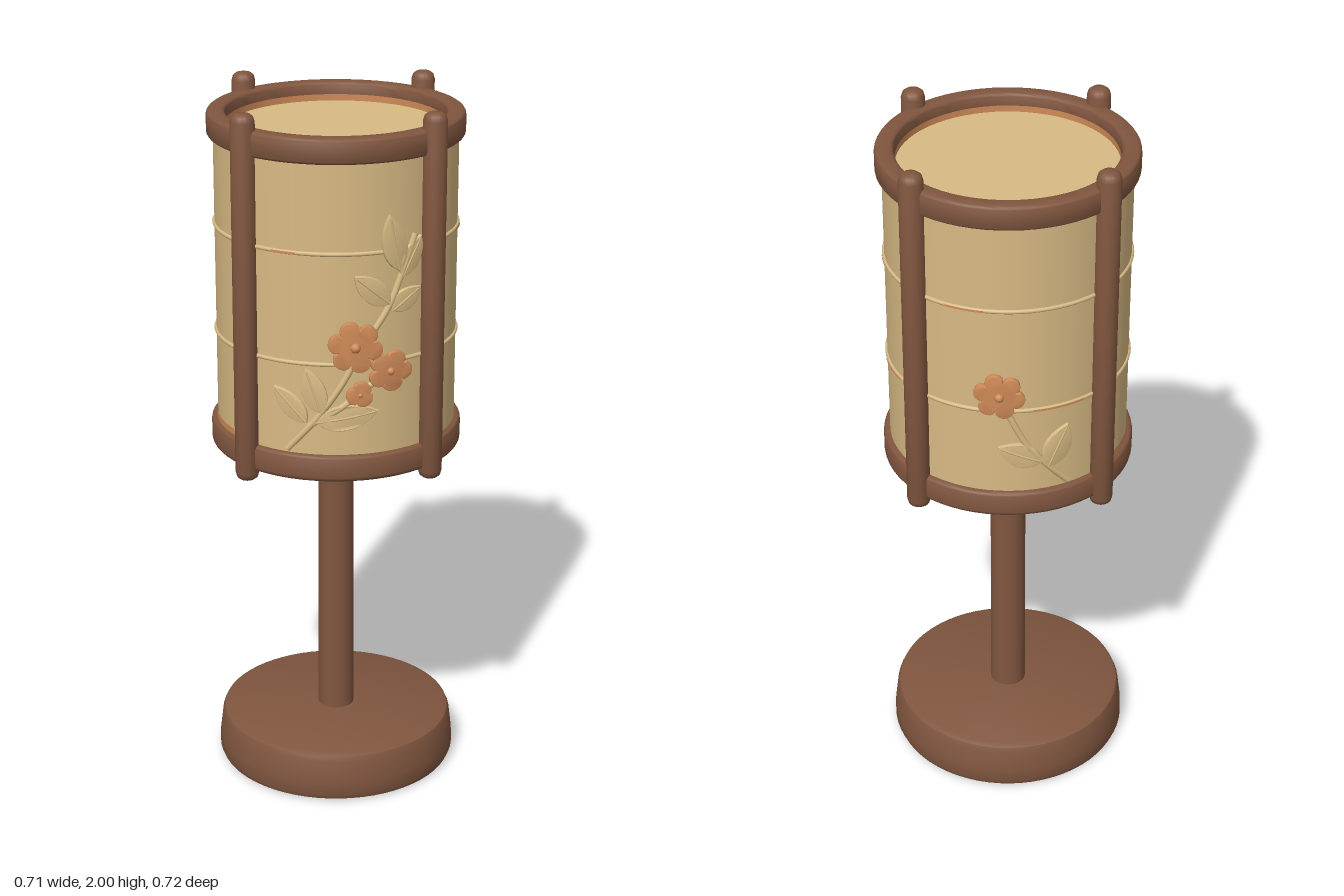
import * as THREE from 'three';
import { toCreasedNormals } from 'three/addons/utils/BufferGeometryUtils.js';

const R = 0.335; // shade radius

export function createModel() {
  const group = new THREE.Group();
  const mat = (name, color) => {
    const m = new THREE.MeshStandardMaterial({ color });
    m.name = name;
    return m;
  };
  const wood = mat('brown wood', 0x80563f);
  const paper = mat('cream paper', 0xd8ba84);
  const blossom = mat('orange blossom', 0xcf8a58);
  const add = (name, geo, material, parent = group) => {
    const mesh = new THREE.Mesh(geo, material);
    mesh.name = name;
    parent.add(mesh);
    return mesh;
  };
  const lathe = (pts, seg = 64) => toCreasedNormals(
    new THREE.LatheGeometry(pts.map(p => new THREE.Vector2(...p)), seg), 0.7);

  // Round foot with softened edges
  add('base', lathe([[0, 0], [0.325, 0], [0.341, 0.006], [0.347, 0.02], [0.346, 0.06], [0.338, 0.125],
    [0.332, 0.139], [0.318, 0.146], [0, 0.146]]), wood);

  // Stand
  add('pole', new THREE.CylinderGeometry(0.05, 0.052, 0.92, 32).translate(0, 0.58, 0), wood);

  // Rounded hoops at both ends of the shade
  const hoop = (y0, y1) => {
    const shape = [], b = 0.014, r0 = 0.3, r1 = 0.353;
    const corners = [[r1 - b, y0 + b, -1], [r1 - b, y1 - b, 0], [r0 + b, y1 - b, 1], [r0 + b, y0 + b, 2]];
    for (const [cx, cy, q] of corners)
      for (let i = 0; i <= 4; i++) {
        const a = (q + i / 4) * Math.PI / 2;
        shape.push([cx + b * Math.cos(a), cy + b * Math.sin(a)]);
      }
    shape.push(shape[0]);
    return lathe(shape);
  };
  add('lowerHoop', hoop(1.0, 1.075), wood);
  add('upperHoop', hoop(1.885, 1.955), wood);

  // Four upright posts with rounded ends
  for (const sx of [-1, 1]) for (const sz of [-1, 1]) {
    const post = add('post', lathe([[0, 0.97], [0.02, 0.972], [0.029, 0.979], [0.033, 0.993],
      [0.033, 1.977], [0.029, 1.991], [0.02, 1.998], [0, 2.0]], 20), wood);
    post.position.set(sx * 0.252, 0, sz * 0.243);
  }

  // Paper shade, its recessed lid and the wooden floor
  add('shade', new THREE.CylinderGeometry(R, R, 0.88, 64, 1, true).translate(0, 1.48, 0), paper);
  add('shadeTop', new THREE.CircleGeometry(0.325, 48).rotateX(-Math.PI / 2).translate(0, 1.903, 0), paper);
  add('shadeFloor', new THREE.CircleGeometry(0.325, 48).rotateX(Math.PI / 2).translate(0, 1.016, 0), wood);

  // Fine ribs round the shade
  for (const y of [1.335, 1.642])
    add('rib', new THREE.TorusGeometry(R, 0.006, 8, 80).rotateX(Math.PI / 2).translate(0, y, 0), paper);

  // Short painted bands: [height, band height, start, sweep, radius]
  const deg = Math.PI / 180;
  for (const [y, h, start, sweep, r] of [[1.642, 0.006, 70, 35, 0.342], [1.642, 0.006, -32, 12, 0.342],
    [1.335, 0.006, 100, 20, 0.342], [1.642, 0.006, 150, 18, 0.342], [1.335, 0.006, 190, 25, 0.342],
    [1.082, 0.022, 238, 80, 0.338]])
    add('paintedBand', new THREE.CylinderGeometry(r, r, h, 20, 1, true, start * deg, sweep * deg)
      .translate(0, y, 0), blossom);
  const rim = blossom.clone();
  rim.side = THREE.DoubleSide;
  add('innerRimBand', new THREE.CylinderGeometry(0.299, 0.299, 0.018, 64, 1, true).translate(0, 1.912, 0), rim);

  // Relief ornament: flat drawings wrapped onto the shade about a centre angle
  const wrapPoint = (x, y, lift, centre) => {
    const a = centre + Math.asin(x / R);
    return new THREE.Vector3((R + lift) * Math.sin(a), y, (R + lift) * Math.cos(a));
  };
  const relief = (shape, lift, centre) => {
    const geo = new THREE.ExtrudeGeometry(shape, { depth: lift, curveSegments: 8,
      bevelThickness: 0.003, bevelSize: 0.003, bevelSegments: 2 }).translate(0, 0, -0.004);
    const p = geo.attributes.position;
    for (let i = 0; i < p.count; i++) {
      const v = wrapPoint(p.getX(i), p.getY(i), p.getZ(i), centre);
      p.setXYZ(i, v.x, v.y, v.z);
    }
    return toCreasedNormals(geo, 0.6);
  };
  const leafShape = ([x0, y0, x1, y1, w]) => {
    const dx = x1 - x0, dy = y1 - y0, l = Math.hypot(dx, dy);
    const at = (t, s) => [x0 + dx * t - dy / l * s, y0 + dy * t + dx / l * s];
    const shape = new THREE.Shape().moveTo(x0, y0);
    shape.bezierCurveTo(...at(0.2, -w), ...at(0.65, -w), x1, y1);
    shape.bezierCurveTo(...at(0.65, w), ...at(0.2, w), x0, y0);
    return shape;
  };
  const flowerShape = ([cx, cy, r, petals, turn]) => {
    const pts = [], n = petals * 10;
    for (let i = 0; i < n; i++) {
      const a = i / n * Math.PI * 2;
      const k = r * (0.62 + 0.38 * Math.sqrt(Math.abs(Math.sin(a * petals / 2))));
      pts.push(new THREE.Vector2(cx + k * Math.cos(a + turn), cy + k * Math.sin(a + turn)));
    }
    return new THREE.Shape(pts);
  };
  const spray = (name, centre, stems, leaves, flowers) => {
    const part = new THREE.Group();
    part.name = name;
    group.add(part);
    for (const pts of stems) {
      const curve = new THREE.CatmullRomCurve3(pts.map(([x, y]) => wrapPoint(x, y, 0.002, centre)));
      add('stem', new THREE.TubeGeometry(curve, 30, 0.009, 8), paper, part);
    }
    for (const l of leaves) {
      add('leaf', relief(leafShape(l), 0.011, centre), paper, part);
      // Raised vein along each leaf
      const vein = [0, 0.5, 0.95].map(t =>
        wrapPoint(l[0] + (l[2] - l[0]) * t, l[1] + (l[3] - l[1]) * t, 0.009, centre));
      add('leafVein', new THREE.TubeGeometry(new THREE.CatmullRomCurve3(vein), 8, 0.003, 6), paper, part);
    }
    for (const f of flowers) {
      add('flower', relief(flowerShape(f), 0.016, centre), blossom, part);
      const heart = add('flowerHeart', new THREE.SphereGeometry(f[2] * 0.2, 12, 8), blossom, part);
      heart.position.copy(wrapPoint(f[0], f[1], 0.013, centre));
    }
  };

  spray('frontSpray', 0,
    [[[-0.14, 1.085], [-0.07, 1.17], [0, 1.27], [0.06, 1.38], [0.13, 1.49], [0.165, 1.58], [0.2, 1.68]],
      [[-0.08, 1.16], [0, 1.21], [0.05, 1.25], [0.12, 1.3]]],
    [[-0.09, 1.17, -0.17, 1.26, 0.035], [-0.05, 1.2, -0.09, 1.32, 0.04], [-0.06, 1.17, 0.1, 1.2, 0.045],
      [0.13, 1.5, 0.04, 1.58, 0.04], [0.14, 1.48, 0.21, 1.53, 0.035], [0.155, 1.59, 0.13, 1.74, 0.04],
      [0.165, 1.57, 0.212, 1.67, 0.03]],
    [[0.04, 1.385, 0.07, 6, 0.3], [0.132, 1.31, 0.055, 5, 0.5], [0.053, 1.25, 0.034, 3, 0.2]]);

  spray('backSpray', Math.PI,
    [[[0.155, 1.085], [0.1, 1.15], [0.04, 1.23], [-0.03, 1.38]]],
    [[0.08, 1.17, -0.03, 1.22, 0.045], [0.1, 1.15, 0.15, 1.27, 0.045]],
    [[-0.03, 1.385, 0.065, 6, 0.3]]);

  return group;
}
